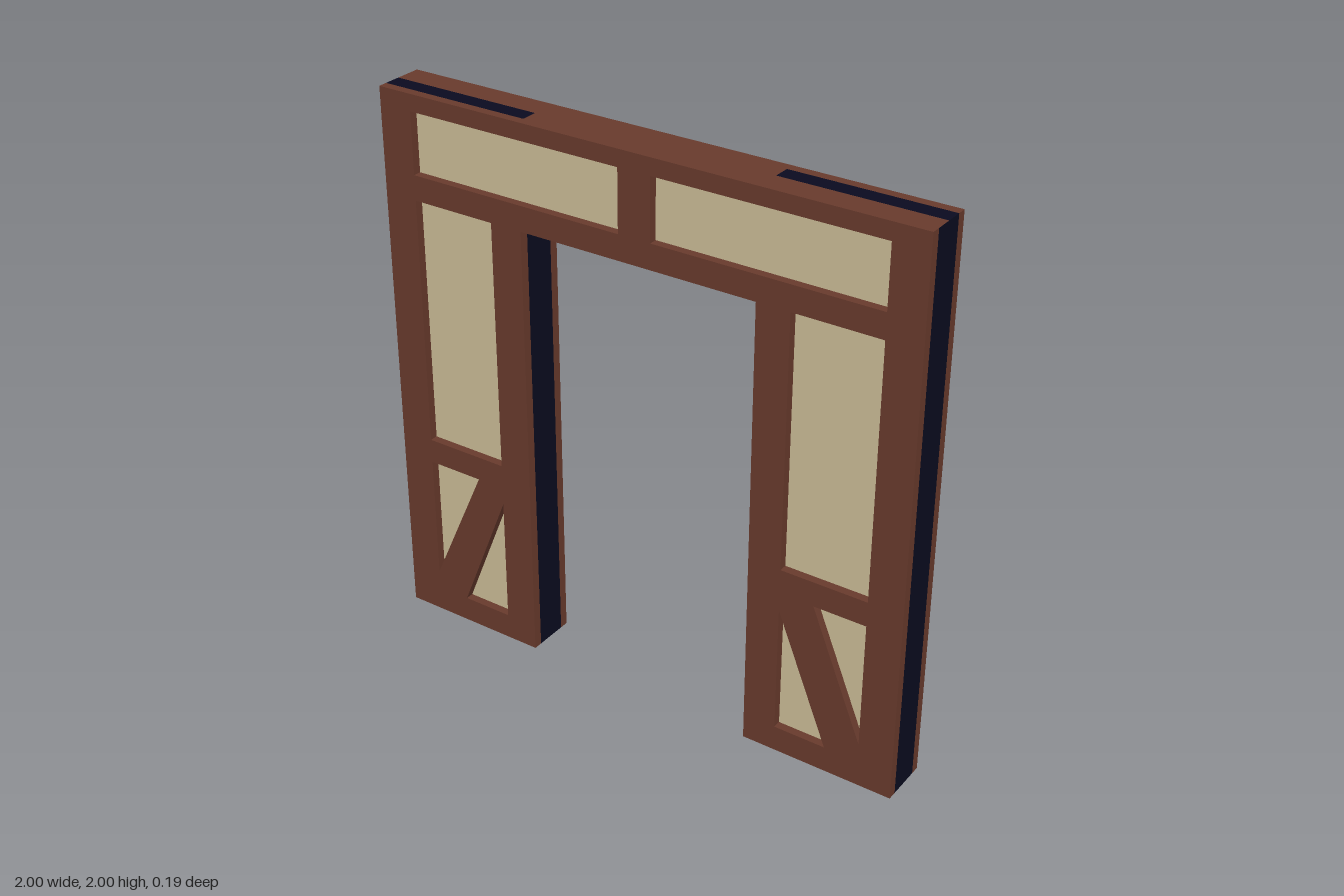
import * as THREE from 'three';

const HALF = 0.093;  // half of the total wall thickness
const CORE = 0.06;   // half of the core thickness
const DOOR = 0.44;   // half of the doorway width
const LINTEL = 1.63; // underside of the lintel

const rect = (x0, x1, y0, y1) => [[x0, y0], [x1, y0], [x1, y1], [x0, y1]];
const toVectors = (pts) => pts.map(([x, y]) => new THREE.Vector2(x, y));

// Openings between the timbers
function openings() {
  const list = [];
  for (const s of [-1, 1]) {
    const tip = s < 0 ? 0.665 : 0.685;
    list.push(
      rect(s * 0.06, s * 0.875, 1.72, 1.94),
      rect(s * 0.56, s * 0.875, 0.72, LINTEL),
      [[s * 0.875, 0.63], [s * tip, 0.63], [s * 0.875, 0.165]],
      [[s * 0.56, 0.565], [s * 0.56, 0.095], [s * 0.75, 0.095]]
    );
  }
  return list;
}

export function createModel() {
  const timber = new THREE.MeshStandardMaterial({ color: 0x693b2d });
  timber.name = 'brown timber';
  const plaster = new THREE.MeshStandardMaterial({ color: 0xcbbc97 });
  plaster.name = 'cream plaster';
  const navy = new THREE.MeshStandardMaterial({ color: 0x0a0b20 });
  navy.name = 'dark navy core';

  const model = new THREE.Group();
  model.name = 'timberDoorway';
  const add = (parent, name, geometry, material) => {
    const mesh = new THREE.Mesh(geometry, material);
    mesh.name = name;
    parent.add(mesh);
    return mesh;
  };

  // Timber frame: an arch outline pierced by the panel openings
  const outline = new THREE.Shape(toVectors([
    [-1, 0], [-DOOR, 0], [-DOOR, LINTEL], [DOOR, LINTEL],
    [DOOR, 0], [1, 0], [1, 2], [-1, 2],
  ]));
  outline.holes = openings().map((pts) => new THREE.Path(toVectors(pts)));
  const frameGeometry = new THREE.ExtrudeGeometry(outline, { depth: HALF - CORE, bevelEnabled: false });

  // Plaster plates lying on the core inside each opening
  const plateGeometry = new THREE.ExtrudeGeometry(
    openings().map((pts) => new THREE.Shape(toVectors(pts))),
    { depth: 0.003, bevelEnabled: false }
  );

  // The back face is the front face turned half round
  for (const [name, turn] of [['front', 0], ['back', Math.PI]]) {
    const face = new THREE.Group();
    face.name = name + 'Face';
    face.rotation.y = turn;
    add(face, name + 'Frame', frameGeometry, timber).position.z = CORE;
    add(face, name + 'Panels', plateGeometry, plaster).position.z = CORE;
    model.add(face);
  }

  // Core of each leg, in two layers: one has a bare top, the other a timber top
  const legWidth = 1 - DOOR;
  const layerGeometry = new THREE.BoxGeometry(legWidth, 2, CORE);
  const timberTop = [navy, navy, timber, navy, navy, navy];
  for (const side of [-1, 1]) {
    for (const layer of [-1, 1]) {
      const name = (side > 0 ? 'left' : 'right') + 'LegCore' + (layer > 0 ? 'Front' : 'Back');
      const bare = side !== layer;
      add(model, name, layerGeometry, bare ? navy : timberTop)
        .position.set(side * (DOOR + legWidth / 2), 1, layer * CORE / 2);
    }
  }

  // Solid timber lintel over the doorway
  add(model, 'lintelCore', new THREE.BoxGeometry(2 * DOOR, 2 - LINTEL, 2 * CORE), timber)
    .position.y = (2 + LINTEL) / 2;

  return model;
}
